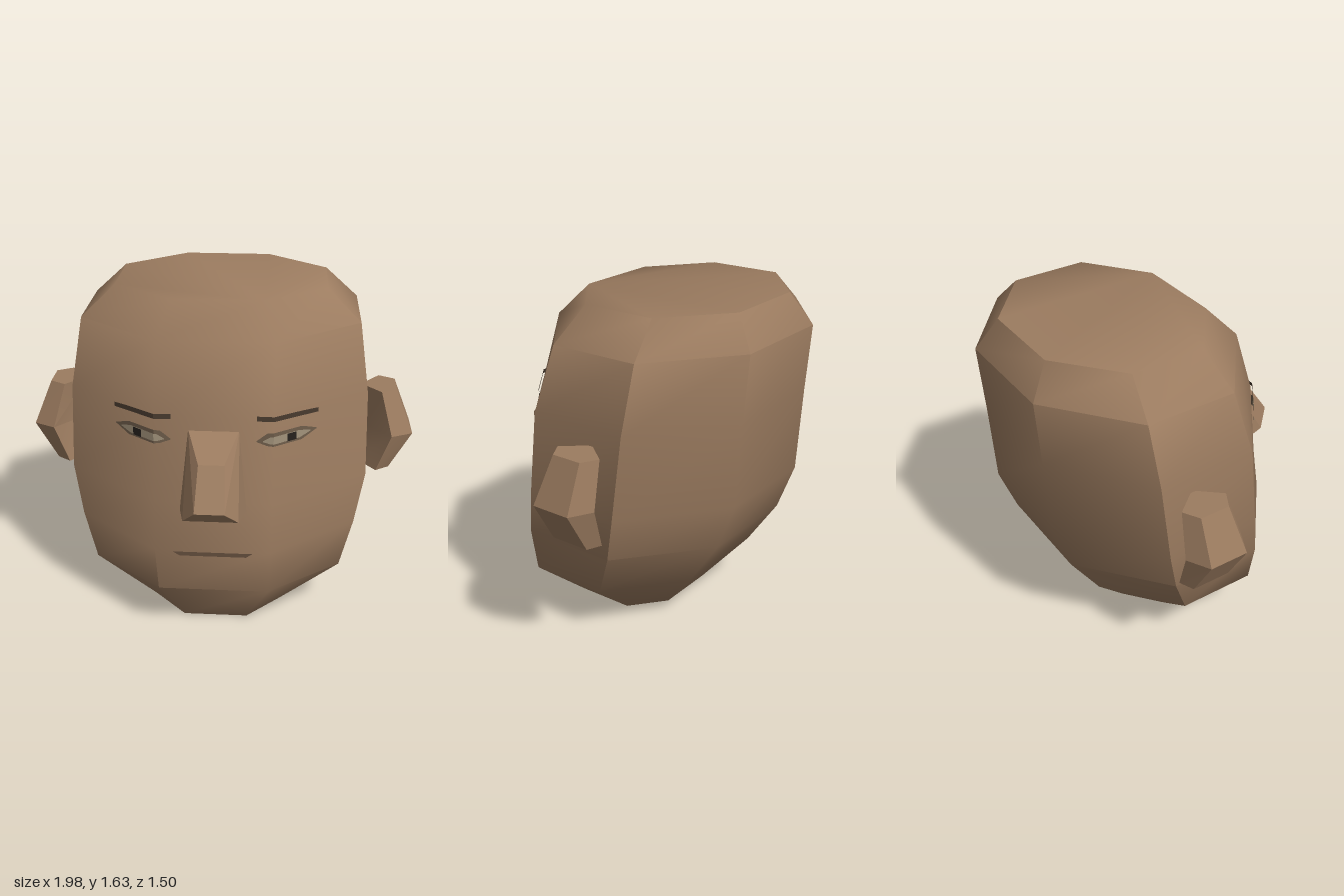
import * as THREE from 'three';
import { toCreasedNormals } from 'three/addons/utils/BufferGeometryUtils.js';

const CREASE = 0.84;
const material = (color, side = THREE.FrontSide) => new THREE.MeshStandardMaterial({ color, side });
const skin = material(0x9c7c60);

function makeGeometry(points, index) {
  const geo = new THREE.BufferGeometry();
  geo.setAttribute('position', new THREE.Float32BufferAttribute(points.flat(), 3));
  geo.setIndex(index);
  return geo;
}

function addMesh(parent, name, geo, mat) {
  const mesh = new THREE.Mesh(geo, mat);
  mesh.name = name;
  parent.add(mesh);
  return mesh;
}

// Closed loft through rings listed from bottom to top, each running front, +x, back, -x
function loft(rings, crease) {
  const n = rings[0].length, last = (rings.length - 1) * n, index = [];
  for (let i = 0; i < rings.length - 1; i++) {
    for (let j = 0; j < n; j++) {
      const k = (j + 1) % n, a = i * n + j, b = i * n + k;
      index.push(a, b, b + n, a, b + n, a + n);
    }
  }
  for (let j = 1; j < n - 1; j++) {
    index.push(0, j + 1, j, last, last + j, last + j + 1);
  }
  return toCreasedNormals(makeGeometry(rings.flat(), index), crease);
}

// Skull sections: y, side half-width, front half-width, z of front, front corner, back corner, back
const SKULL = [
  [0, 0.33, 0.16, 0.37, 0.19, -0.1, -0.24],
  [0.25, 0.625, 0.27, 0.52, 0.235, -0.165, -0.45],
  [0.49, 0.69, 0.28, 0.55, 0.21, -0.27, -0.61],
  [0.73, 0.74, 0.28, 0.51, 0.15, -0.34, -0.7],
  [1.15, 0.73, 0.28, 0.455, 0.11, -0.39, -0.725],
  [1.48, 0.685, 0.28, 0.345, 0.02, -0.43, -0.75],
  [1.635, 0.52, 0.22, 0.2, -0.03, -0.4, -0.65],
];

function skullGeometry() {
  return loft(SKULL.map(([y, hw, fw, zf, zfs, zbs, zb]) => [
    [fw, y, zf], [hw, y, zfs], [hw, y, zbs], [fw, y, zb],
    [-fw, y, zb], [-hw, y, zbs], [-hw, y, zfs], [-fw, y, zf],
  ]), CREASE);
}

// Depth of the face surface at x, y
function faceZ(x, y) {
  let i = 0;
  while (i < SKULL.length - 2 && SKULL[i + 1][0] < y) i++;
  const t = (y - SKULL[i][0]) / (SKULL[i + 1][0] - SKULL[i][0]);
  const [, hw, fw, zf, zs] = SKULL[i].map((v, k) => THREE.MathUtils.lerp(v, SKULL[i + 1][k], t));
  return THREE.MathUtils.lerp(zf, zs, Math.max(0, (Math.abs(x) - fw) / (hw - fw)));
}

// Thin patch lying on the face; columns are x, top y, bottom y
function patch(columns, side, lift) {
  const points = [], index = [];
  columns.forEach(([x, top, bottom], i) => {
    for (const y of [bottom, top]) points.push([x * side, y, faceZ(x, y) + lift]);
    if (i) {
      const a = 2 * i - 2;
      index.push(a, a + 2, a + 3, a, a + 3, a + 1);
    }
  });
  return toCreasedNormals(makeGeometry(points, index), 0.3);
}

// Wedge nose: left and right profiles joined across, with fanned sides
function noseGeometry() {
  const profile = [
    [0.12, 1.09, 0.455], [0.06, 0.985, 0.62], [0.07, 0.8, 0.75], [0.13, 0.725, 0.68], [0.165, 0.69, 0.48],
  ];
  const points = profile.flatMap(([x, y, z]) => [[-x, y, z], [x, y, z]]);
  const index = [];
  for (let i = 0; i < 4; i++) {
    const a = 2 * i;
    index.push(a, a + 2, a + 3, a, a + 3, a + 1);
    if (i) index.push(0, a + 2, a, 1, a + 1, a + 3);
  }
  return toCreasedNormals(makeGeometry(points, index), 0.2);
}

// Bent five-sided ear
function earGeometry(side) {
  const rings = [
    [0.645, [0.81, -0.065], [0.88, -0.115], [0.88, -0.31], [0.81, -0.34], [0.71, -0.2]],
    [0.845, [0.88, -0.05], [0.99, -0.105], [0.99, -0.3], [0.88, -0.36], [0.76, -0.2]],
    [1.07, [0.82, -0.105], [0.9, -0.15], [0.9, -0.3], [0.82, -0.345], [0.72, -0.22]],
  ].map(([y, ...pts]) => {
    const ring = pts.map(([x, z]) => [x * side, y, z]);
    return side < 0 ? ring.reverse() : ring;
  });
  return loft(rings, 0.3);
}

export function createModel() {
  const head = new THREE.Group();
  head.name = 'head';
  addMesh(head, 'skull', skullGeometry(), skin);
  addMesh(head, 'nose', noseGeometry(), skin);

  const lidMat = material(0x6b5a48, THREE.DoubleSide);
  const whiteMat = material(0x9c8d76, THREE.DoubleSide);
  const irisMat = material(0x241f1c, THREE.DoubleSide);
  const browMat = material(0x43362b, THREE.DoubleSide);
  const mouthMat = material(0x6e5644, THREE.DoubleSide);

  for (const side of [1, -1]) {
    const word = side > 0 ? 'left' : 'right';
    addMesh(head, word + 'Ear', earGeometry(side), skin);

    // Eye layers: lids, white, iris
    const eye = new THREE.Group();
    eye.name = word + 'Eye';
    addMesh(eye, 'lids', patch([
      [0.2, 1.047, 1.043], [0.25, 1.085, 1.025], [0.28, 1.087, 1.022], [0.41, 1.085, 1.02], [0.48, 1.057, 1.053],
    ], side, 0.01), lidMat);
    addMesh(eye, 'white', patch([
      [0.23, 1.05, 1.046], [0.265, 1.07, 1.036], [0.28, 1.071, 1.035], [0.4, 1.071, 1.034], [0.45, 1.056, 1.052],
    ], side, 0.016), whiteMat);
    addMesh(eye, 'iris', patch([[0.343, 1.071, 1.034], [0.385, 1.071, 1.034]], side, 0.022), irisMat);
    head.add(eye);

    addMesh(head, word + 'Brow', patch([
      [0.2, 1.165, 1.143], [0.28, 1.164, 1.142], [0.41, 1.16, 1.138], [0.485, 1.155, 1.135],
    ], side, 0.014), browMat);
  }

  // Mouth slit
  addMesh(head, 'mouth', patch([
    [-0.19, 0.485, 0.483], [-0.16, 0.485, 0.462], [0.16, 0.485, 0.462], [0.19, 0.485, 0.483],
  ], 1, 0.008), mouthMat);

  head.position.x = 0.005;
  const model = new THREE.Group();
  model.add(head);
  return model;
}
